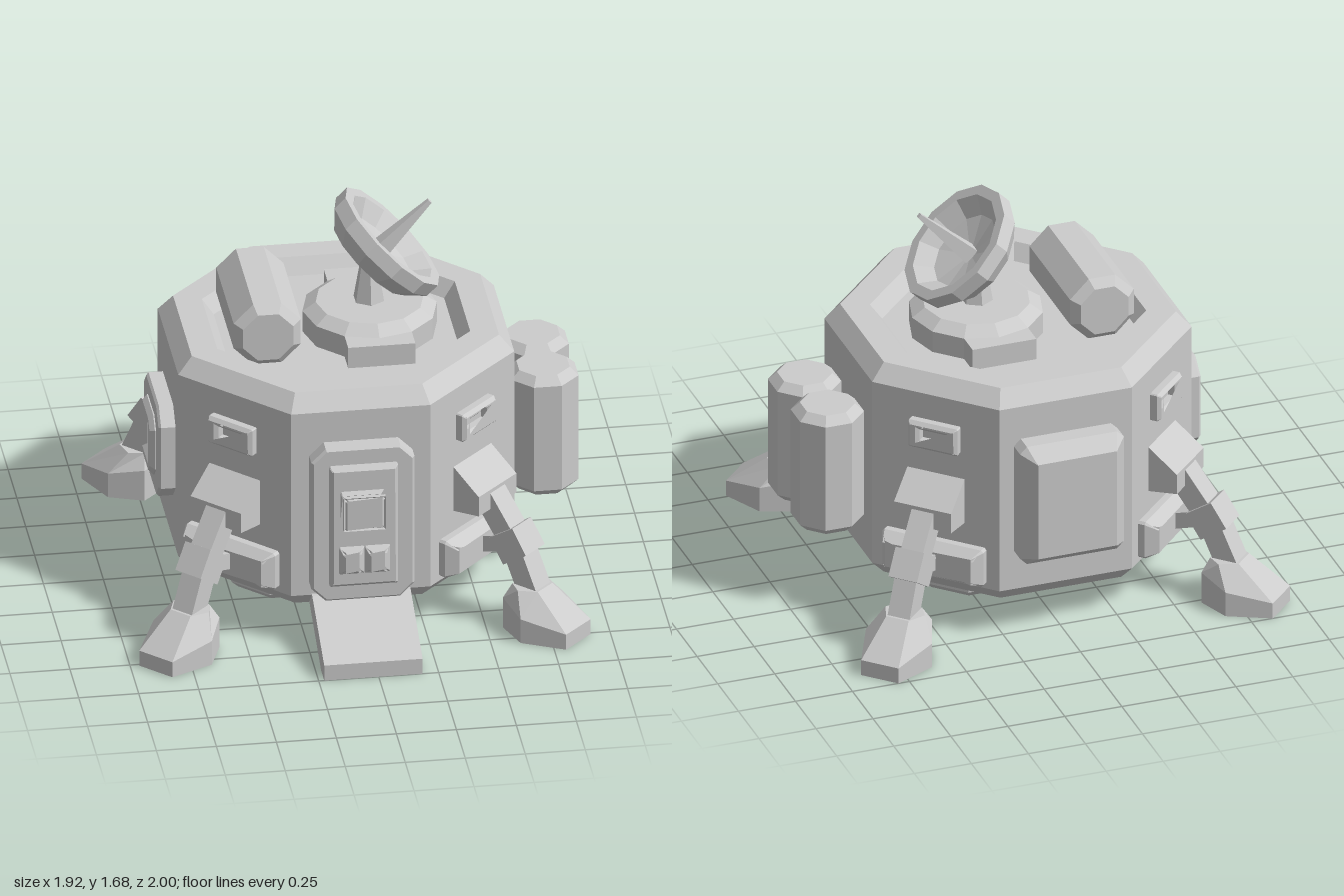
import * as THREE from 'three';

const mat = new THREE.MeshStandardMaterial({ color: 0xcccccc, flatShading: true });

function add(parent, name, geo, x = 0, y = 0, z = 0) {
  const m = new THREE.Mesh(geo, mat);
  m.name = name;
  m.position.set(x, y, z);
  parent.add(m);
  return m;
}

// Octagonal solid with flats on the axes; profile is [apothem, y] from bottom to top
function octagon(profile) {
  const k = 1 / Math.cos(Math.PI / 8);
  return new THREE.LatheGeometry(profile.map(([r, y]) => new THREE.Vector2(r * k, y)), 8, Math.PI / 8);
}

function tank(r, length, c) {
  const h = length / 2;
  return octagon([[0, -h], [r - c, -h], [r, -h + c], [r, h - c], [r - c, h], [0, h]]);
}

// Bevelled plate with cut corners, back in the wall, front at z = depth; optional window [w, h, y]
function panel(w, h, cut, depth, bevel, hole, bevelDepth = bevel) {
  const a = w / 2, b = h / 2;
  const pts = [[-a + cut, -b], [a - cut, -b], [a, -b + cut], [a, b - cut],
    [a - cut, b], [-a + cut, b], [-a, b - cut], [-a, -b + cut]];
  const s = new THREE.Shape(pts.map(p => new THREE.Vector2(...p)));
  if (hole) {
    const [hw, hh, hy] = [hole[0] / 2, hole[1] / 2, hole[2] || 0];
    s.holes.push(new THREE.Path([[-hw, hy - hh], [-hw, hy + hh], [hw, hy + hh], [hw, hy - hh]]
      .map(p => new THREE.Vector2(...p))));
  }
  const g = new THREE.ExtrudeGeometry(s, {
    depth, bevelEnabled: true, bevelSegments: 1, bevelSize: bevel, bevelThickness: bevelDepth, bevelOffset: -bevel,
  });
  return g.translate(0, 0, -bevelDepth);
}

// Side profile of [z, y] points, widened along x
function prism(points, width) {
  const s = new THREE.Shape(points.map(p => new THREE.Vector2(...p)));
  return new THREE.ExtrudeGeometry(s, { depth: width, bevelEnabled: false })
    .rotateY(-Math.PI / 2).translate(width / 2, 0, 0);
}

// Square bar between two [z, y] points
function bar(parent, name, [z0, y0], [z1, y1], w, d = w) {
  const m = add(parent, name, new THREE.BoxGeometry(w, Math.hypot(z1 - z0, y1 - y0), d),
    0, (y0 + y1) / 2, (z0 + z1) / 2);
  m.rotation.x = Math.atan2(z1 - z0, y1 - y0);
}

// Closed skin over rings of equal point count, lowest ring first
function loft(rings) {
  const n = rings[0].length, index = [];
  for (let r = 0; r < rings.length - 1; r++) {
    for (let i = 0; i < n; i++) {
      const a = r * n + i, b = r * n + (i + 1) % n;
      index.push(a, b, b + n, a, b + n, a + n);
    }
  }
  const top = (rings.length - 1) * n;
  for (let i = 1; i < n - 1; i++) index.push(0, i + 1, i, top, top + i, top + i + 1);
  const g = new THREE.BufferGeometry();
  g.setAttribute('position', new THREE.Float32BufferAttribute(rings.flat(2), 3));
  g.setIndex(index);
  g.computeVertexNormals();
  return g;
}

function face(parent, name, angle) {
  const g = new THREE.Group();
  g.name = name;
  g.rotation.y = angle;
  parent.add(g);
  return g;
}

function buildLeg(parent, angle) {
  const leg = face(parent, 'landingLeg', angle);
  add(leg, 'window', panel(0.225, 0.125, 0.005, 0.045, 0.015, [0.12, 0.05]), 0, 0.88, 0.7);
  add(leg, 'shoulder', prism([[0.66, 0.49], [0.83, 0.51], [0.83, 0.6], [0.7, 0.7], [0.66, 0.7]], 0.26));
  add(leg, 'bracket', panel(0.46, 0.17, 0.01, 0.09, 0.035, null, 0.05), 0, 0.315, 0.69);
  bar(leg, 'upperStrut', [0.77, 0.58], [0.93, 0.37], 0.1);
  bar(leg, 'knee', [0.895, 0.425], [0.965, 0.32], 0.13, 0.14);
  bar(leg, 'lowerStrut', [0.93, 0.37], [1.04, 0.13], 0.1);
  bar(leg, 'brace', [0.7, 0.3], [0.92, 0.37], 0.07);
  // Foot rises from a low toe to the ankle
  const plan = [[-0.085, 1.245, 0.07], [0.085, 1.245, 0.07], [0.15, 1.06, 0.11],
    [0.085, 0.92, 0.14], [-0.085, 0.92, 0.14], [-0.15, 1.06, 0.11]];
  add(leg, 'foot', loft([
    plan.map(([x, z]) => [x, 0, z]),
    plan.map(([x, z, y]) => [x, y, z]),
    plan.map(([x, z]) => [x * 0.6, 0.2, 1.0 + (z - 1.06) * 0.4]),
  ]));
}

export function createModel() {
  const model = new THREE.Group();
  model.name = 'lander';
  const root = new THREE.Group();
  root.name = 'landerBody';
  root.position.set(-0.022, 0, -0.06);
  model.add(root);

  // Hull with recessed roof
  add(root, 'hull', octagon([[0, 0.145], [0.64, 0.145], [0.7, 0.21], [0.7, 1.06],
    [0.64, 1.13], [0.527, 1.13], [0.48, 1.065], [0, 1.065]]));

  // Thruster pads underneath
  for (const x of [-1, 1]) for (const z of [-1, 1]) {
    add(root, 'thruster', octagon([[0, 0.075], [0.205, 0.075], [0.235, 0.105], [0.235, 0.16], [0, 0.16]]),
      x * 0.252, 0, z * 0.252);
  }

  // Legs with the diagonal windows
  for (let i = 0; i < 4; i++) buildLeg(root, Math.PI / 4 + i * Math.PI / 2);

  // Front door and ramp
  const front = face(root, 'doorway', 0);
  add(front, 'doorFrame', panel(0.43, 0.71, 0.06, 0.07, 0.01), 0, 0.565, 0.7);
  add(front, 'door', panel(0.285, 0.555, 0.005, 0.035, 0.015, [0.15, 0.13, 0.07]), 0, 0.567, 0.77);
  add(front, 'doorWindow', panel(0.19, 0.17, 0.004, 0.05, 0.022, [0.13, 0.11]), 0, 0.635, 0.77);
  for (const s of [-1, 1]) {
    add(front, 'doorHandle', panel(0.105, 0.125, 0.004, 0.035, 0.025), s * 0.053, 0.418, 0.8);
  }
  add(front, 'ramp', prism([[0.97, 0], [1.06, 0], [1.06, 0.07], [0.72, 0.215], [0.6, 0.215], [0.6, 0.16]], 0.41));

  // Back equipment box
  const back = face(root, 'backBox', Math.PI);
  add(back, 'equipmentBox', panel(0.455, 0.55, 0.03, 0.145, 0.055, null, 0.07), 0, 0.635, 0.7);

  // Hatch on the right side
  const hatch = face(root, 'sideHatch', -Math.PI / 2);
  add(hatch, 'hatchPlate', panel(0.43, 0.425, 0.07, 0.07, 0.01), 0, 0.632, 0.7);
  add(hatch, 'hatchFrame', panel(0.28, 0.28, 0.05, 0.03, 0.02, [0.13, 0.15]), 0, 0.632, 0.765);

  // Upright tanks on the left side, one lying on the roof
  for (const s of [-1, 1]) add(root, 'sideTank', tank(0.14, 0.555, 0.035), 0.842, 0.633, s * 0.138);
  add(root, 'roofTank', tank(0.14, 0.56, 0.035), -0.323, 1.2, 0).rotation.x = Math.PI / 2;

  // Dish pedestal
  add(root, 'pedestalBar', new THREE.BoxGeometry(0.28, 0.11, 0.69), 0.14, 1.105, 0);
  add(root, 'pedestal', new THREE.LatheGeometry(
    [[0, 1.06], [0.28, 1.06], [0.28, 1.16], [0.225, 1.198], [0, 1.198]].map(p => new THREE.Vector2(...p)), 12), 0.14);
  add(root, 'dishStem', new THREE.CylinderGeometry(0.03, 0.07, 0.23, 6), 0.137, 1.3, 0);

  // Tilted dish with its spike
  const dish = new THREE.Group();
  dish.name = 'dishAntenna';
  dish.position.set(0.235, 1.48, 0);
  dish.rotation.z = -Math.PI / 4;
  root.add(dish);
  add(dish, 'dish', new THREE.LatheGeometry(
    [[0, -0.138], [0.205, -0.138], [0.276, -0.065], [0.276, 0], [0.23, 0], [0.17, -0.065], [0, -0.1]]
      .map(p => new THREE.Vector2(...p)), 12));
  add(dish, 'spike', new THREE.CylinderGeometry(0.013, 0.05, 0.32, 4, 1, false, Math.PI / 4), 0, 0.06, 0);

  return model;
}
